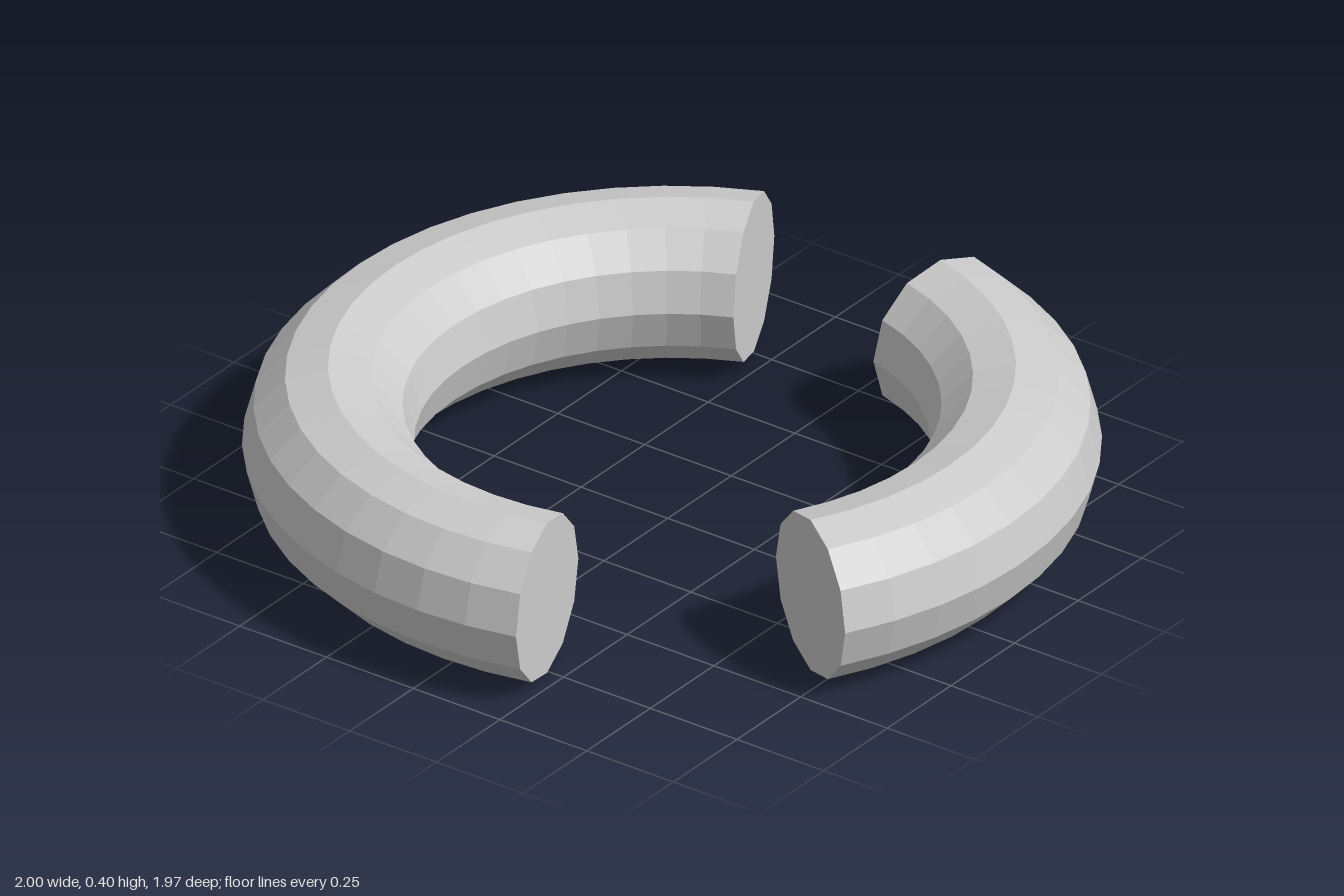
import * as THREE from 'three';

const RING = 0.8, TUBE = 0.2, SIDES = 12, STEP = 7.5, CENTRE_Z = -0.017;
const rad = THREE.MathUtils.degToRad;

export function createModel() {
  const group = new THREE.Group();
  group.name = 'splitRing';
  const material = new THREE.MeshStandardMaterial({ color: 0xcccccc, flatShading: true });

  // Flat disc closing a tube end; angles run from +x towards +z
  function endCap(angle, isStart) {
    const disc = new THREE.CircleGeometry(TUBE, SIDES);
    if (isStart) disc.rotateY(Math.PI);
    disc.translate(RING, 0, 0);
    disc.rotateY(-rad(angle));
    const cap = new THREE.Mesh(disc, material);
    cap.name = isStart ? 'startCap' : 'endCap';
    return cap;
  }

  // Curved faceted tube with both ends closed
  function arcPiece(name, from, to) {
    const piece = new THREE.Group();
    piece.name = name;
    const tube = new THREE.TorusGeometry(RING, TUBE, SIDES, Math.round((to - from) / STEP), rad(to - from));
    tube.rotateX(Math.PI / 2);
    tube.rotateY(-rad(from));
    const body = new THREE.Mesh(tube, material);
    body.name = name + 'Tube';
    piece.add(body, endCap(from, true), endCap(to, false));
    piece.position.set(0, TUBE, CENTRE_Z);
    return piece;
  }

  group.add(arcPiece('shortArc', -75, 30), arcPiece('longArc', 75, 247.5));
  return group;
}
